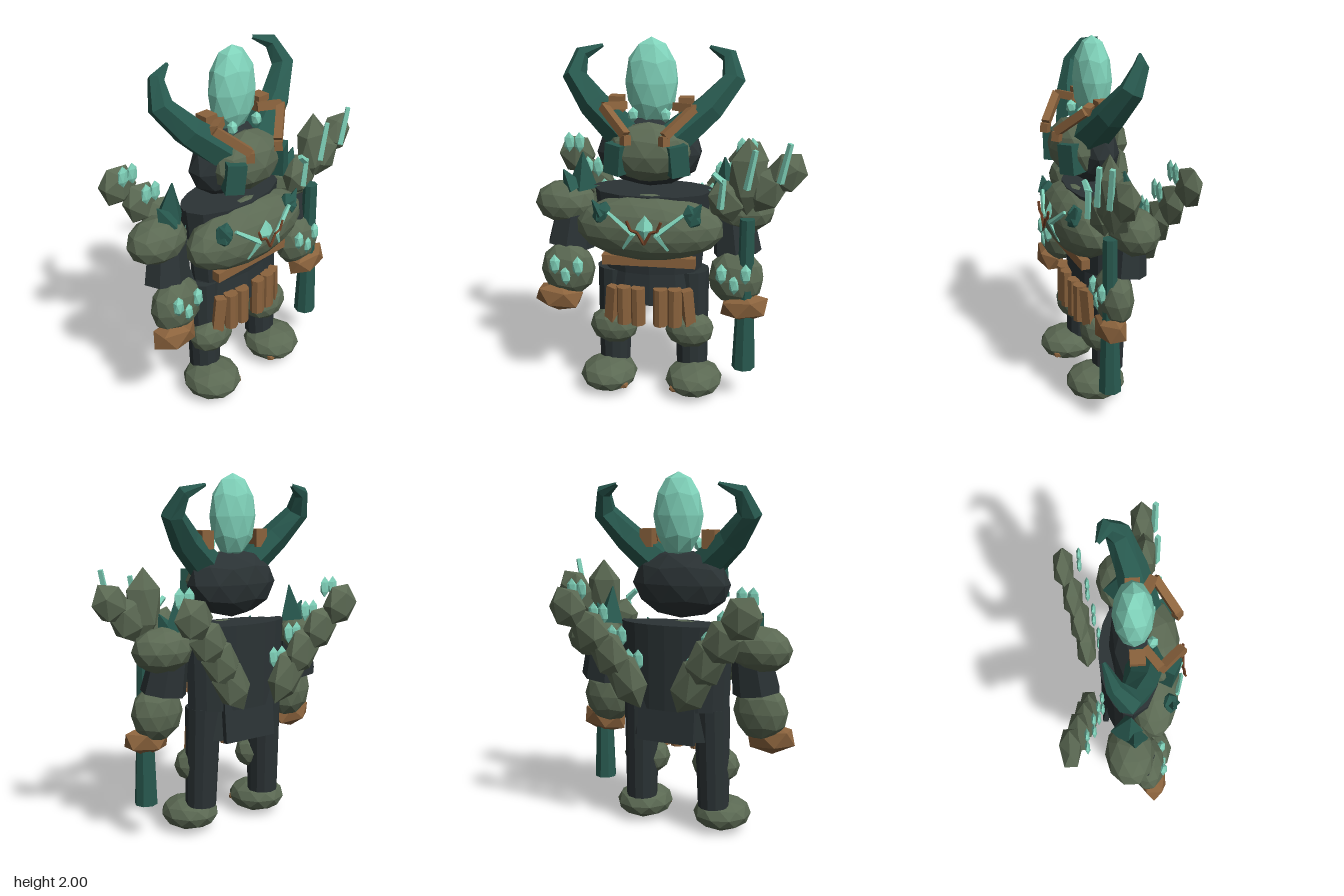
import * as THREE from 'three';

const mat = (name, color) => Object.assign(new THREE.MeshStandardMaterial({ color }), { name });
const V = (p) => new THREE.Vector3(...p);

export function createModel() {
  const stone = mat('mossy stone', 0x5b6953);
  const mint = mat('mint crystal', 0x7fd1b9);
  const teal = mat('deep teal', 0x28594f);
  const wood = mat('tan leather', 0x8b633d);
  const dark = mat('dark cloth', 0x2b3335);
  const rust = mat('rust', 0x6e3f25);

  // The figure's symmetry plane sits slightly to its right.
  const body = new THREE.Group();
  body.name = 'golem';
  body.position.x = -0.08;

  // Adds a faceted mesh
  const add = (name, geo, material, pos = [0, 0, 0], rot = [0, 0, 0]) => {
    const g = geo.index ? geo.toNonIndexed() : geo;
    g.computeVertexNormals();
    const m = new THREE.Mesh(g, material);
    m.name = name;
    m.position.set(...pos);
    m.rotation.set(...rot);
    body.add(m);
    return m;
  };
  // Icosahedron turned so that a corner points up, then stretched
  const rock = (name, material, pos, r, detail = 1, rot) =>
    add(name, new THREE.IcosahedronGeometry(1, detail).rotateZ(-0.5536).scale(...r), material, pos, rot);
  const box = (name, material, pos, size, rot) =>
    add(name, new THREE.BoxGeometry(...size), material, pos, rot);
  // Prism running from a to b
  const rod = (name, material, a, b, r0, r1, sides = 4) => {
    const d = V(b).sub(V(a));
    const m = add(name, new THREE.CylinderGeometry(r1, r0, d.length(), sides), material);
    m.position.copy(V(a).add(V(b)).multiplyScalar(0.5));
    m.quaternion.setFromUnitVectors(new THREE.Vector3(0, 1, 0), d.normalize());
    return m;
  };
  const chain = (name, material, pts, r) => {
    for (let i = 1; i < pts.length; i++) rod(name, material, pts[i - 1], pts[i], r, r);
  };
  // Tube with one ring of the given radius at each point
  const taperedTube = (pts, radii, sides) => {
    const curve = new THREE.CatmullRomCurve3(pts.map(V));
    curve.getPointAt = curve.getPoint;
    curve.getTangentAt = curve.getTangent;
    const geo = new THREE.TubeGeometry(curve, pts.length - 1, 1, sides);
    const p = geo.attributes.position;
    const v = new THREE.Vector3();
    for (let i = 0; i < p.count; i++) {
      const ring = Math.floor(i / (sides + 1));
      const c = V(pts[ring]);
      v.fromBufferAttribute(p, i).sub(c).multiplyScalar(radii[ring]).add(c);
      p.setXYZ(i, v.x, v.y, v.z);
    }
    return geo;
  };

  // Torso, skirt, coat back and flap
  add('torso', new THREE.CylinderGeometry(0.32, 0.27, 0.45, 12).scale(1, 1, 0.5), dark, [0, 0.955, 0.04]);
  add('skirt', new THREE.CylinderGeometry(0.27, 0.31, 0.2, 12).scale(1, 1, 0.46), dark, [0, 0.65, 0.04]);
  add('coatBack', new THREE.CylinderGeometry(0.33, 0.315, 0.47, 10, 1, false, Math.PI / 2, Math.PI).scale(1, 1, 0.49),
    dark, [0, 0.955, 0.035]);
  box('backFlap', dark, [0, 0.8, -0.085], [0.34, 0.52, 0.03], [0.09, 0, 0]);

  // Chest plate and belt
  rock('chestPlate', stone, [0, 1.0, 0.15], [0.405, 0.185, 0.165], 2);
  box('belt', wood, [0, 0.82, 0.185], [0.51, 0.055, 0.05]);

  // Chest emblem
  add('chestCrystal', new THREE.OctahedronGeometry(1).scale(0.062, 0.078, 0.035), mint, [0, 1.035, 0.3]);
  chain('chestMark', rust, [[-0.09, 1.09, 0.337], [-0.07, 1.04, 0.337], [-0.035, 1.03, 0.337], [0, 0.965, 0.337],
    [0.035, 1.03, 0.337], [0.07, 1.04, 0.337], [0.09, 1.09, 0.337]], 0.008);

  // Head with crest
  rock('hood', dark, [-0.01, 1.4, 0.07], [0.29, 0.19, 0.14]);
  rock('face', stone, [0, 1.415, 0.15], [0.23, 0.16, 0.14]);
  rock('crest', mint, [0, 1.77, 0.05], [0.142, 0.23, 0.102]);

  for (const s of [1, -1]) {
    // Horns
    add('horn', taperedTube([[s * 0.13, 1.49, 0.11], [s * 0.31, 1.645, 0.06], [s * 0.425, 1.785, 0], [s * 0.395, 1.895, -0.06],
      [s * 0.29, 1.935, -0.1]], [0.1, 0.082, 0.065, 0.042, 0.01], 6), teal);

    // Cheek guards and brow brackets
    box('cheekGuard', teal, [s * 0.155, 1.395, 0.22], [0.1, 0.16, 0.1], [0, s * 0.5, s * 0.1]);
    box('browBlock', wood, [s * 0.185, 1.645, 0.06], [0.075, 0.1, 0.075]);
    chain('browBracket', wood, [[s * 0.13, 1.65, 0.1], [s * 0.235, 1.655, 0.17], [s * 0.1, 1.53, 0.28], [s * 0.1, 1.48, 0.285]], 0.03);
    rock('browCrystal', mint, [s * 0.085, 1.61, 0.14], [0.03, 0.04, 0.03], 0);

    // Arms
    rock('shoulder', stone, [s * 0.495, 1.08, 0.01], [0.175, 0.125, 0.13]);
    rod('upperArm', dark, [s * 0.47, 0.84, 0.045], [s * 0.44, 1.06, 0.02], 0.135, 0.11, 7).scale.z = 0.8;
    rock('forearm', stone, [s * 0.47, 0.72, 0.11], [0.155, 0.163, 0.1]);
    rock('hand', wood, [s * 0.52, 0.565, 0.145], [0.15, 0.09, 0.085], 0, [0, 0, s * 0.1]);
    for (const [x, y] of [[0.395, 0.765], [0.465, 0.71], [0.525, 0.77]]) {
      rock('forearmCrystal', mint, [s * x, y, 0.195], [0.034, 0.06, 0.026], 0);
    }

    // Shoulder and chest spikes
    rod('shoulderSpike', teal, [s * 0.4, 1.17, 0.0], [s * 0.39, 1.37, 0.02], 0.085, 0.004);
    rod('shoulderSpike', teal, [s * 0.44, 1.16, 0.04], [s * 0.5, 1.27, 0.03], 0.07, 0.004);
    rock('chestStud', teal, [s * 0.24, 1.09, 0.235], [0.055, 0.075, 0.05], 0, [0, 0, s * 0.3]);
    rod('chestSpike', teal, [s * 0.24, 1.09, 0.25], [s * 0.29, 1.17, 0.25], 0.045, 0.004);
    rod('chestRune', mint, [s * 0.2, 1.115, 0.28], [s * 0.06, 1.01, 0.315], 0.011, 0.018);
    rod('chestRune', mint, [s * 0.06, 1.015, 0.315], [s * 0.12, 0.92, 0.285], 0.018, 0.009);

    // Belt pouches
    rod('pouch', wood, [s * 0.062, 0.44, 0.185], [s * 0.062, 0.657, 0.185], 0.04, 0.04, 8);
    rod('pouch', wood, [s * 0.142, 0.44, 0.18], [s * 0.142, 0.657, 0.18], 0.04, 0.04, 8);
    box('sidePouch', wood, [s * 0.213, 0.545, 0.16], [0.06, 0.21, 0.05], [0, s * 0.5, s * 0.1]);

    // Legs
    rod('leg', dark, [s * 0.225, 0.16, 0.05], [s * 0.215, 0.73, 0.035], 0.088, 0.1, 12);
    rock('knee', stone, [s * 0.215, 0.39, 0.1], [0.14, 0.11, 0.1]);
    rock('foot', stone, [s * 0.245, 0.1, 0.13], [0.163, 0.096, 0.17]);
    rock('toeStud', wood, [s * 0.145, 0.075, 0.23], [0.032, 0.025, 0.025], 0);

    // Rock wings behind the back
    const wing = [[0.195, 0.9, -0.195, 0.18], [0.285, 1.03, -0.22, 0.155], [0.385, 1.15, -0.25, 0.135], [0.5, 1.28, -0.29, 0.125]];
    for (const [x, y, z, h] of wing) {
      rock('wingRock', stone, [s * x, y, z], [0.115, h, 0.062], 0, [0, 0, -s * 0.5]);
      for (const d of [-0.03, 0.03]) {
        rock('wingCrystal', mint, [s * (x + d - 0.005), y + 0.09, z * 0.85 + 0.045], [0.034, 0.06, 0.014], 0);
      }
    }
  }

  // Staff
  rod('staffShaft', teal, [0.525, 0.45, 0.15], [0.525, 1.07, 0.15], 0.045, 0.04, 8);
  rod('staffFoot', teal, [0.525, 0.2, 0.15], [0.525, 0.52, 0.15], 0.064, 0.052, 8);
  for (const [x, y, rx, ry, tilt] of [[0.52, 1.3, 0.115, 0.21, 0], [0.41, 1.17, 0.11, 0.125, 0.3],
    [0.62, 1.24, 0.11, 0.14, -0.4], [0.72, 1.33, 0.105, 0.125, -0.6]]) {
    rock('staffRock', stone, [x, y, 0.15], [rx, ry, 0.07], 0, [0, 0, tilt]);
  }
  for (const [x0, y0, x1, y1] of [[0.385, 1.14, 0.4, 1.3], [0.4, 1.28, 0.345, 1.33],
    [0.52, 1.25, 0.56, 1.46], [0.69, 1.29, 0.735, 1.5]]) {
    rod('staffShard', mint, [x0, y0, 0.215], [x1, y1, 0.22], 0.02, 0.016);
  }

  const model = new THREE.Group();
  model.name = 'model';
  model.add(body);
  return model;
}
